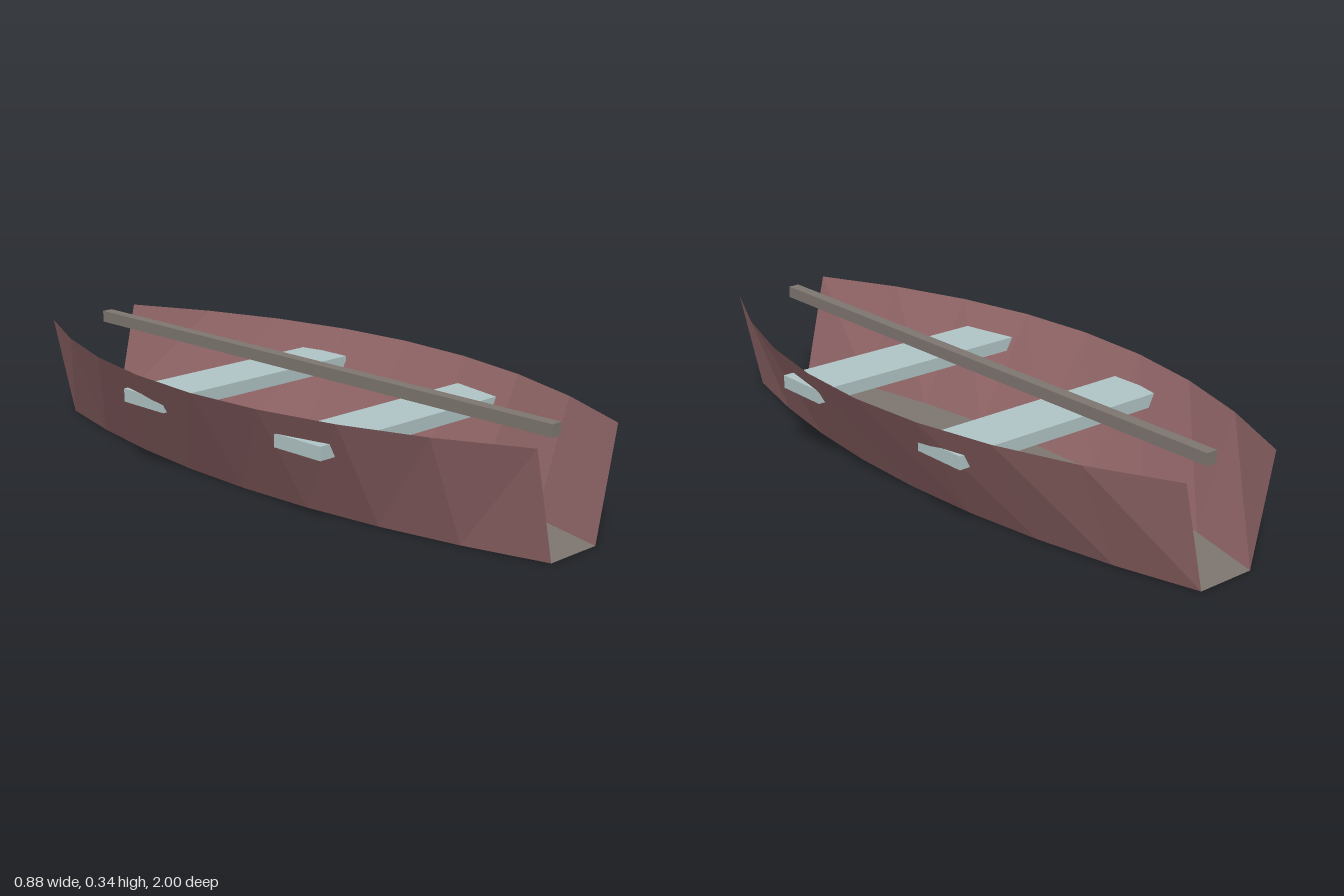
import * as THREE from 'three';

const mat = (name, color, extra = {}) =>
  Object.assign(new THREE.MeshStandardMaterial({ color, flatShading: true, ...extra }), { name });

const HEIGHT = 0.322;
const stations = [1, 0.75, 0.5, 0.25, 0, -0.25, -0.5, -0.75, -1];
const topHalf = (z) => 0.44 - 0.273 * z * z;
const bottomHalf = (z) => 0.243 - 0.15 * z * z;

export function createModel() {
  const group = new THREE.Group();
  const hullPaint = mat('hull red brown', 0x8f6466, { side: THREE.DoubleSide });
  const floorWood = mat('floor grey', 0x7d756f, { side: THREE.DoubleSide });
  const benchPaint = mat('bench pale blue', 0xafc3c4);

  const add = (name, geometry, material, x = 0, y = 0, z = 0) => {
    const mesh = new THREE.Mesh(geometry, material);
    mesh.name = name;
    mesh.position.set(x, y, z);
    group.add(mesh);
  };

  // Strip of quads between two edges that run along the stations
  const strip = (edgeA, edgeB, flip) => {
    const pos = [], index = [];
    stations.forEach((z, i) => {
      pos.push(...edgeA(z), ...edgeB(z));
      if (i === 0) return;
      const a = 2 * i - 2, b = a + 1, c = a + 2, d = a + 3;
      index.push(...(flip ? [a, d, b, a, c, d] : [a, b, d, a, d, c]));
    });
    const g = new THREE.BufferGeometry();
    g.setAttribute('position', new THREE.Float32BufferAttribute(pos, 3));
    g.setIndex(index);
    const flat = g.toNonIndexed();
    flat.computeVertexNormals();
    return flat;
  };

  // Flared thin side walls, open at both ends
  for (const s of [1, -1]) {
    add(s > 0 ? 'leftSide' : 'rightSide',
      strip((z) => [s * topHalf(z), HEIGHT, z], (z) => [s * bottomHalf(z), 0, z], s > 0), hullPaint);
  }

  // Flat floor
  add('floor', strip((z) => [-bottomHalf(z), 0, z], (z) => [bottomHalf(z), 0, z], false), floorWood);

  // Benches, whose ends poke through the sides
  add('frontBench', new THREE.BoxGeometry(0.75, 0.04, 0.178), benchPaint, 0, 0.23, 0.357);
  add('backBench', new THREE.BoxGeometry(0.75, 0.04, 0.178), benchPaint, 0, 0.23, -0.287);

  // Long pole lying lengthwise above the benches
  add('pole', new THREE.BoxGeometry(0.036, 0.036, 1.86), floorWood, 0, 0.322, 0);

  return group;
}
